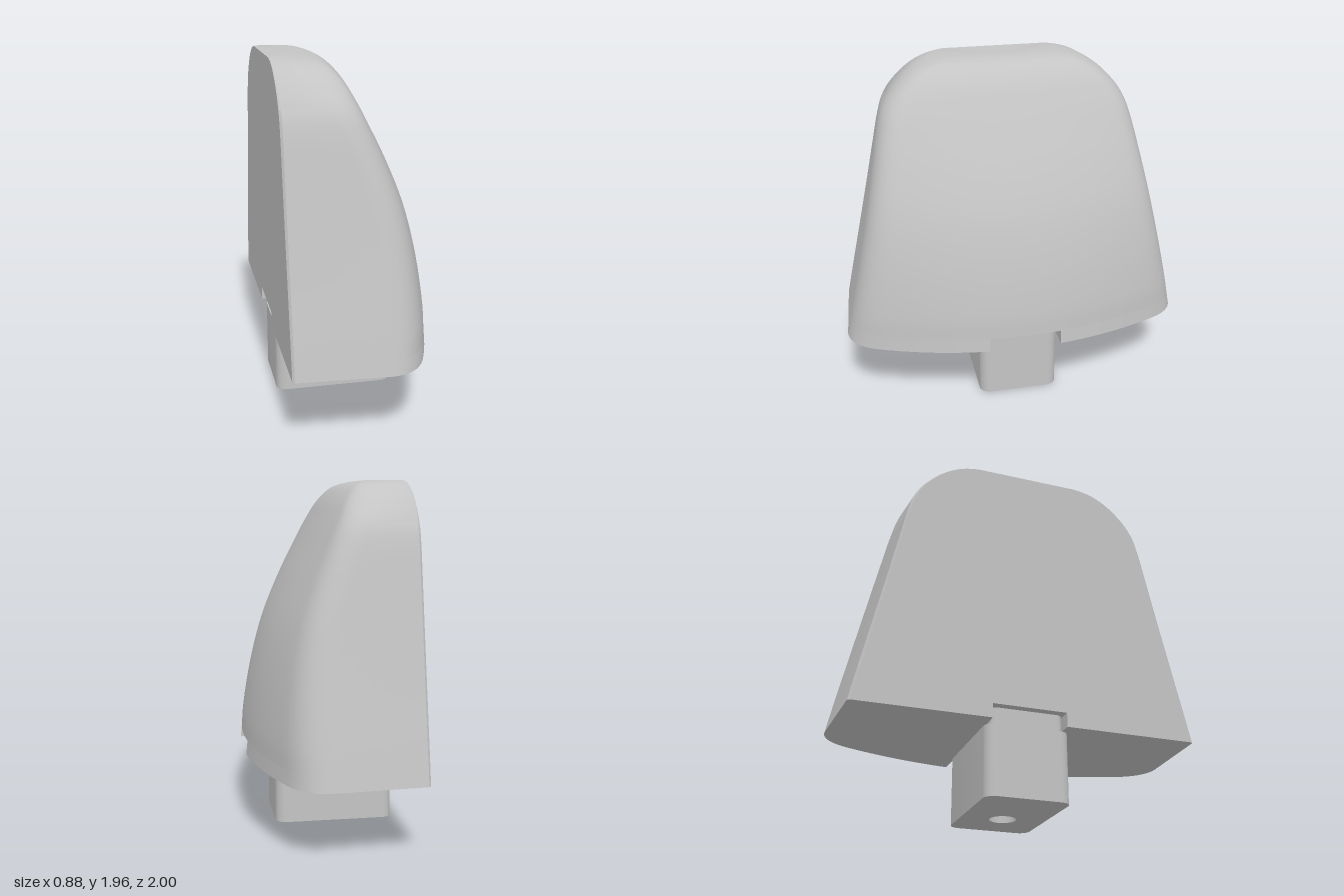
import * as THREE from 'three';
import { toCreasedNormals } from 'three/addons/utils/BufferGeometryUtils.js';

const BACK = -0.45, SLOT = 0.21, SLOT_TOP = 0.49;

// Front-most x, height and half width of the shell, from the bottom up
const profile = [
  [0.432, 0.49, 0.983], [0.423, 0.61, 0.957], [0.373, 0.9, 0.893], [0.295, 1.18, 0.832],
  [0.19, 1.425, 0.78], [0.1, 1.6, 0.742], [0.046, 1.7, 0.711], [0.006, 1.77, 0.67],
  [-0.03, 1.83, 0.617], [-0.068, 1.88, 0.56], [-0.108, 1.92, 0.495], [-0.15, 1.945, 0.43], [-0.21, 1.96, 0.35],
].map((p) => new THREE.Vector3(...p));

// Half outline (z >= SLOT) of a level: back edge, drafted side, rounded corner, bowed front
function frontX({ x, y, z: w }, z) {
  const bulge = THREE.MathUtils.mapLinear(y, 0.41, 1.96, 0.24, 0.05);
  return x - bulge * (z / w) ** 2;
}
function halfOutline(level) {
  const { y, z: w } = level;
  const corner = frontX(level, w);
  const pts = [[BACK, SLOT], [BACK, w - 0.042], [BACK + 0.012, w - 0.03]];
  const bend = new THREE.QuadraticBezierCurve(
    new THREE.Vector2(Math.max(corner - 0.14, BACK + 0.03), w),
    new THREE.Vector2(corner, w),
    new THREE.Vector2(frontX(level, w * 0.84), w * 0.84));
  bend.getPoints(8).forEach((p) => pts.push([p.x, p.y]));
  for (let i = 1; i <= 10; i++) {
    const z = THREE.MathUtils.lerp(w * 0.84, SLOT, i / 10);
    pts.push([frontX(level, z), z]);
  }
  return pts.map(([x, z]) => new THREE.Vector3(x, y, z));
}
const mirrorLoop = (pts) => pts.map((p) => new THREE.Vector3(p.x, p.y, -p.z)).reverse();
function fullOutline(level) {
  const half = halfOutline(level);
  const nose = [0.1, 0, -0.1].map((z) => new THREE.Vector3(frontX(level, z), level.y, z));
  return [...half, ...nose, ...mirrorLoop(half)];
}

// Skin a stack of loops and close its ends
function loft(loops, capTop = true) {
  const n = loops[0].length, pos = [];
  const tri = (...v) => v.forEach((p) => pos.push(p.x, p.y, p.z));
  const centre = (l) => l.reduce((s, p) => s.add(p), new THREE.Vector3()).divideScalar(n);
  for (let j = 0; j < loops.length - 1; j++) {
    for (let i = 0; i < n; i++) {
      const k = (i + 1) % n, lo = loops[j], hi = loops[j + 1];
      tri(lo[i], lo[k], hi[k]);
      tri(lo[i], hi[k], hi[i]);
    }
  }
  const first = loops[0], last = loops[loops.length - 1];
  const c0 = centre(first), c1 = centre(last);
  for (let i = 0; i < n; i++) {
    const k = (i + 1) % n;
    tri(c0, first[k], first[i]);
    if (capTop) tri(c1, last[i], last[k]);
  }
  const g = new THREE.BufferGeometry();
  g.setAttribute('position', new THREE.Float32BufferAttribute(pos, 3));
  return toCreasedNormals(g, 0.6);
}

// Upright block with rounded vertical corners and an optional round bore
function roundedBlock(x0, x1, hz, r, y0, y1, bore) {
  const s = new THREE.Shape();
  s.absarc(x1 - r, hz - r, r, 0, Math.PI / 2);
  s.absarc(x0 + r, hz - r, r, Math.PI / 2, Math.PI);
  s.absarc(x0 + r, -hz + r, r, Math.PI, Math.PI * 1.5);
  s.absarc(x1 - r, -hz + r, r, Math.PI * 1.5, Math.PI * 2);
  s.closePath();
  if (bore) s.holes.push(new THREE.Path().absarc(0, 0, bore, 0, Math.PI * 2, true));
  const g = new THREE.ExtrudeGeometry(s, { depth: y1 - y0, bevelEnabled: false, curveSegments: 12 });
  g.rotateX(-Math.PI / 2).translate(0, y0, 0);
  return toCreasedNormals(g, 0.6);
}

export function createModel() {
  const group = new THREE.Group();
  const grey = new THREE.MeshStandardMaterial({ color: 0xc4c4c4 });
  grey.name = 'light grey';
  const add = (name, geometry) => {
    const mesh = new THREE.Mesh(geometry, grey);
    mesh.name = name;
    group.add(mesh);
  };

  // Domed shell above the slot
  const levels = new THREE.CatmullRomCurve3(profile).getPoints(48);
  add('shell', loft(levels.map(fullOutline)));

  // Shell skirt on either side of the slot
  const skirt = [new THREE.Vector3(0.44, 0.41, 1), profile[0]].map(halfOutline);
  add('leftSkirt', loft(skirt, false));
  add('rightSkirt', loft(skirt.map(mirrorLoop), false));

  // Bored mounting post and the narrower neck in the slot
  add('post', roundedBlock(-0.425, 0.26, 0.235, 0.06, 0, 0.39, 0.075));
  add('neck', roundedBlock(-0.4, 0.235, 0.207, 0.04, 0.39, SLOT_TOP));

  return group;
}
